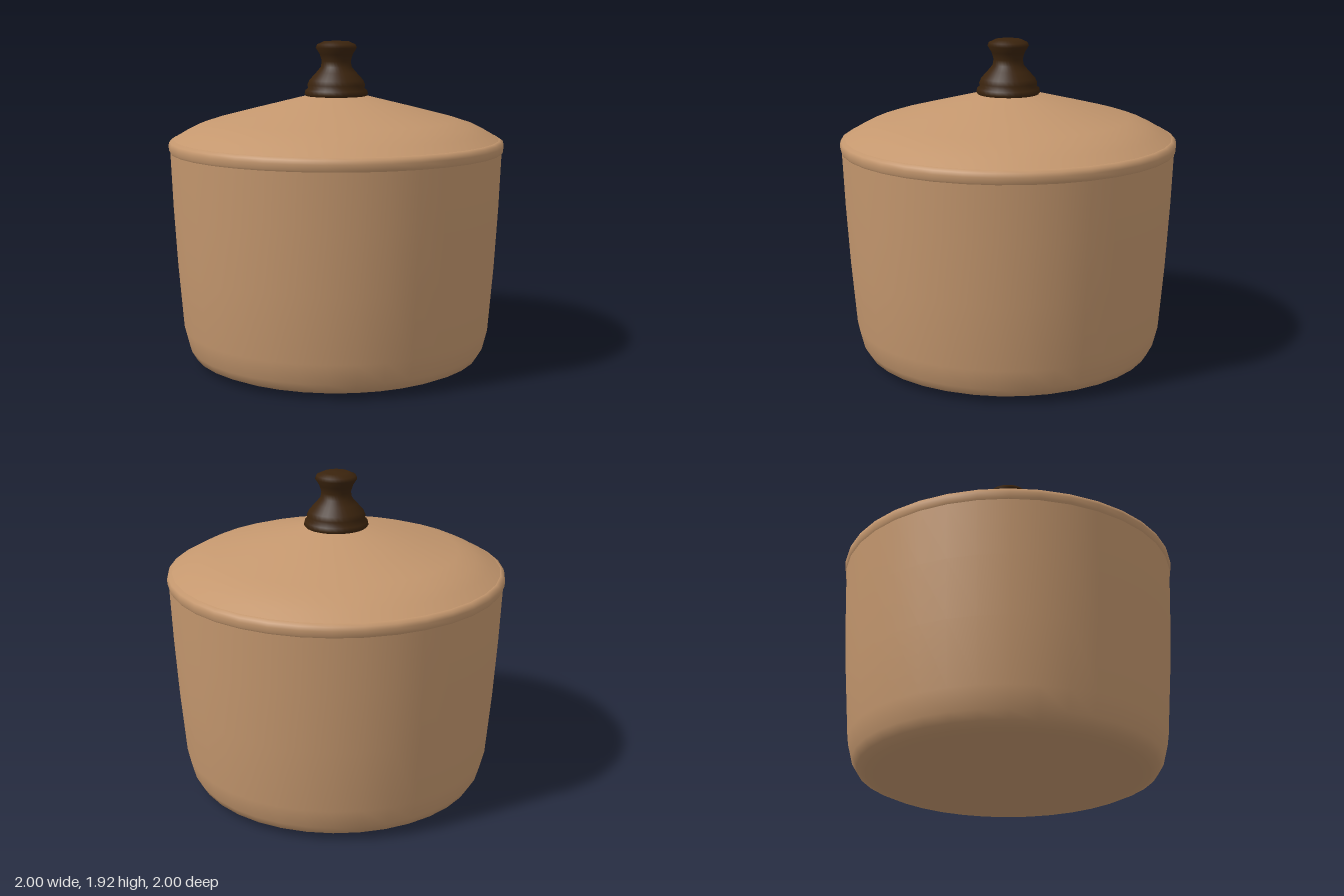
import * as THREE from 'three';

// Turns a bottom-to-top [radius, height] profile into a smooth round part
function turned(name, profile, material, segments) {
  const points = profile.map(([r, y]) => new THREE.Vector2(r, y));
  const mesh = new THREE.Mesh(new THREE.LatheGeometry(points, segments), material);
  mesh.name = name;
  return mesh;
}

export function createModel() {
  const clay = new THREE.MeshStandardMaterial({ color: 0xc4976e });
  clay.name = 'tan clay';
  const wood = new THREE.MeshStandardMaterial({ color: 0x3a230d });
  wood.name = 'dark wood';

  const model = new THREE.Group();
  model.name = 'lidded pot';

  // Slightly flared body with a rounded foot
  model.add(turned('potBody', [
    [0, 0.005], [0.74, 0.015], [0.81, 0.025], [0.865, 0.05], [0.895, 0.1],
    [0.925, 0.22], [0.955, 0.6], [0.975, 0.95], [0.988, 1.28],
  ], clay, 36));

  // Rounded rim band, turning in under the lid
  model.add(turned('rim', [
    [0.985, 1.275], [0.995, 1.29], [0.998, 1.32], [0.992, 1.342], [0.972, 1.355], [0.94, 1.355],
  ], clay, 36));

  // Shallow conical lid with a curved shoulder
  model.add(turned('lid', [
    [0.972, 1.353], [0.9, 1.395], [0.82, 1.435], [0.72, 1.468], [0.5, 1.525], [0.18, 1.605], [0, 1.615],
  ], clay, 36));

  // Turned knob: ringed base, bulb, waist and flared cap
  model.add(turned('knob', [
    [0, 1.6], [0.178, 1.602], [0.189, 1.615], [0.184, 1.638], [0.168, 1.65], [0.172, 1.67],
    [0.16, 1.698], [0.12, 1.742], [0.092, 1.775], [0.086, 1.81], [0.098, 1.85],
    [0.122, 1.888], [0.114, 1.908], [0.075, 1.926], [0, 1.93],
  ], wood, 32));

  return model;
}
